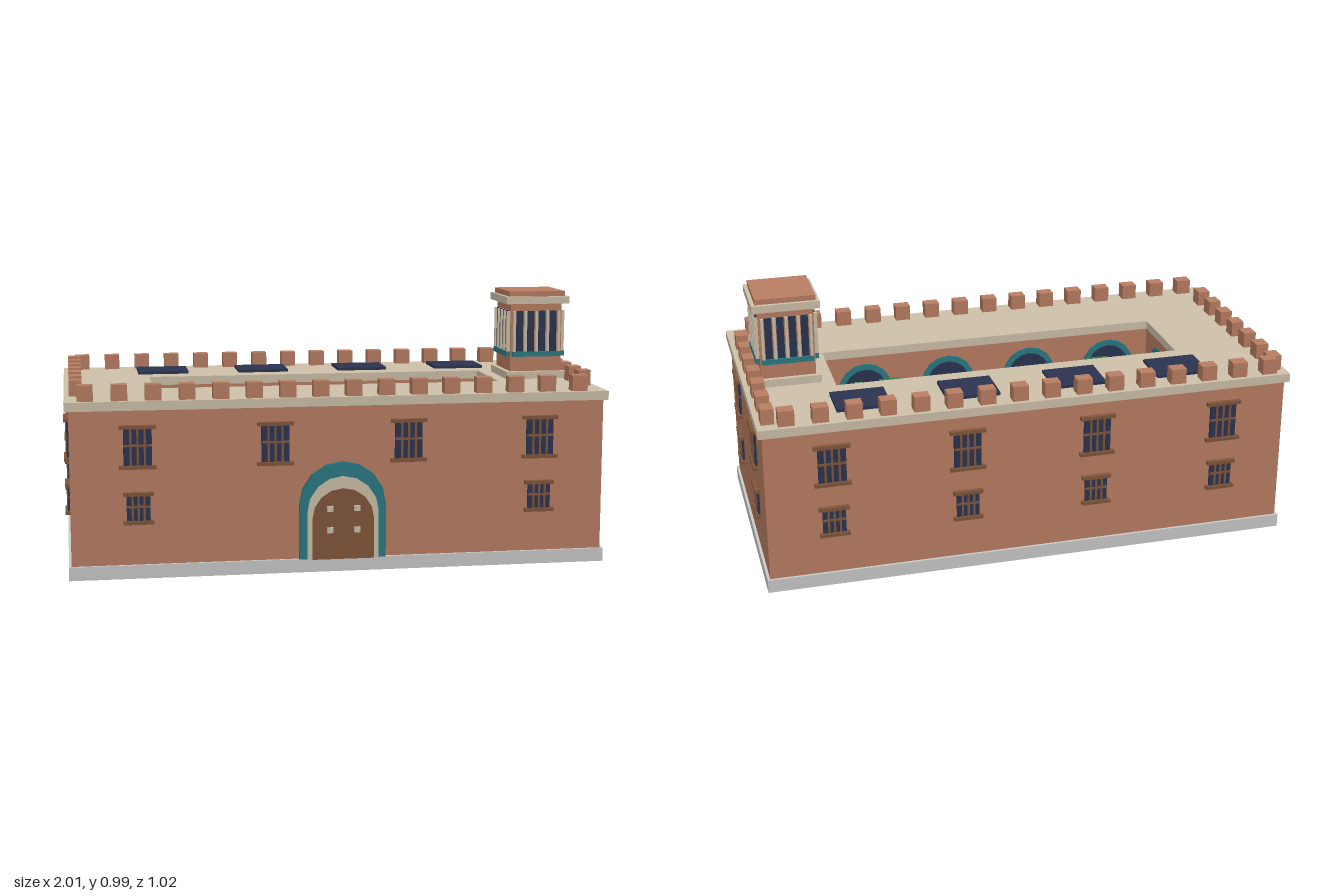
import * as THREE from 'three';

const mat = (name, color) => Object.assign(new THREE.MeshStandardMaterial({ color }), { name });

export function createModel() {
  const terracotta = mat('terracotta', 0xb87d62), cream = mat('cream stone', 0xcdc0a9);
  const grey = mat('grey paving', 0xc9c9c9), teal = mat('teal tile', 0x2a7a84);
  const navy = mat('dark glass', 0x2a3350), wood = mat('wood', 0x80553a);
  const lawnGreen = mat('lawn green', 0x4c9160), leaf = mat('leaf green', 0x3d7d4e);
  const shrubGreen = mat('shrub green', 0x2c6840);

  const model = new THREE.Group();
  model.name = 'courtyardFortress';
  const body = new THREE.Group();
  body.name = 'building';
  body.position.z = -0.011;
  model.add(body);

  const add = (parent, name, geo, material, x = 0, y = 0, z = 0) => {
    const m = new THREE.Mesh(geo, material);
    m.name = name;
    m.position.set(x, y, z);
    parent.add(m);
    return m;
  };
  const box = (parent, name, material, w, h, d, x, y, z) =>
    add(parent, name, new THREE.BoxGeometry(w, h, d), material, x, y, z);
  const group = (parent, name, x = 0, y = 0, z = 0, ry = 0) => {
    const g = new THREE.Group();
    g.name = name;
    g.position.set(x, y, z);
    g.rotation.y = ry;
    parent.add(g);
    return g;
  };
  const faceted = (geo) => {
    const g = geo.toNonIndexed();
    g.computeVertexNormals();
    return g;
  };
  const prism = (rTop, rBottom, h, n) => faceted(new THREE.CylinderGeometry(rTop, rBottom, h, n));
  const ball = (r, n, rings) => faceted(new THREE.SphereGeometry(r, n, rings));

  // Rectangular ring around the courtyard
  const YARD_X = 0.665, YARD_Z = 0.163;
  const ring = (name, material, hx, hz, y0, y1) => {
    const rect = (P, a, b) => new P([[-a, -b], [a, -b], [a, b], [-a, b]].map(p => new THREE.Vector2(...p)));
    const shape = rect(THREE.Shape, hx, hz);
    shape.holes.push(rect(THREE.Path, YARD_X, YARD_Z));
    const geo = new THREE.ExtrudeGeometry(shape, { depth: y1 - y0, bevelEnabled: false });
    add(body, name, geo.rotateX(-Math.PI / 2), material, 0, y0, 0);
  };
  box(body, 'baseSlab', grey, 1.99, 0.05, 0.978, 0, 0.025, 0);
  ring('walls', terracotta, 0.985, 0.479, 0.05, 0.615);
  ring('roof', cream, 1, 0.495, 0.615, 0.648);

  // Battlements
  for (let i = 0; i < 16; i++)
    for (const s of [-1, 1])
      box(body, 'battlement', terracotta, 0.058, 0.058, 0.048, -0.925 + i * 0.1213, 0.677, s * 0.455);
  for (let i = 0; i < 7; i++)
    for (const s of [-1, 1])
      box(body, 'battlement', terracotta, 0.048, 0.058, 0.058, s * 0.957, 0.677, -0.42 + i * 0.121);

  // Roof panels
  for (const x of [-0.605, -0.203, 0.203, 0.605])
    box(body, 'roofPanel', navy, 0.2, 0.012, 0.163, x, 0.653, -0.326);

  // Barred window standing on a wall facing +z
  const barredWindow = (parent, x, y0, y1, w, lintel) => {
    const g = group(parent, 'window', x, (y0 + y1) / 2, 0);
    const h = y1 - y0;
    box(g, 'windowGlass', navy, w, h - 0.02, 0.008, 0, 0, 0.004);
    for (const s of [-1, 1])
      box(g, s > 0 ? 'lintel' : 'sill', wood, lintel, 0.013, 0.018, 0, s * (h / 2 - 0.0065), 0.009);
    for (const i of [-1, 0, 1])
      box(g, 'windowBar', wood, 0.008, h - 0.024, 0.012, i * w * 0.25, 0, 0.006);
    box(g, 'windowCrossbar', wood, w, 0.008, 0.012, 0, 0.006, 0.006);
  };
  const front = group(body, 'frontWall', 0, 0, 0.479);
  const back = group(body, 'backWall', 0, 0, -0.479, Math.PI);
  const leftWall = group(body, 'leftWall', 0.985, 0, 0, Math.PI / 2);
  const rightWall = group(body, 'rightWall', -0.985, 0, 0, -Math.PI / 2);
  const WIDE = [-0.742, -0.246, 0.246, 0.742], SIDE = [-0.236, 0.236];
  for (const [wall, upper, lower] of [
    [front, WIDE, [-0.742, 0.742]], [back, WIDE, WIDE], [leftWall, SIDE, SIDE], [rightWall, SIDE, SIDE]]) {
    upper.forEach(x => barredWindow(wall, x, 0.402, 0.561, 0.102, 0.133));
    lower.forEach(x => barredWindow(wall, x, 0.2, 0.317, 0.085, 0.11));
  }

  // Round-headed slab rising from the ground
  const arch = (parent, name, material, r, apex, depth, x = 0) => {
    const s = new THREE.Shape();
    s.moveTo(-r, 0.05);
    s.lineTo(r, 0.05);
    for (let i = 0; i <= 8; i++) {
      const a = i * Math.PI / 8;
      s.lineTo(r * Math.cos(a), apex - r + r * Math.sin(a));
    }
    const geo = new THREE.ExtrudeGeometry(s, { depth, bevelEnabled: false });
    add(parent, name, geo, material, x, 0, 0);
  };
  arch(front, 'gateTileArch', teal, 0.16, 0.41, 0.019);
  arch(front, 'gateStoneArch', cream, 0.132, 0.357, 0.024);
  arch(front, 'gateDoor', wood, 0.114, 0.313, 0.029);
  for (const x of [-0.05, 0.05])
    for (const y of [0.16, 0.24])
      box(front, 'doorStud', cream, 0.022, 0.02, 0.012, x, y, 0.034);

  // Courtyard arches
  const yardWalls = [
    [0, -YARD_Z, 0, [-0.5, -0.167, 0.167, 0.5]], [0, YARD_Z, Math.PI, [-0.5, -0.167, 0.167, 0.5]],
    [-YARD_X, 0, Math.PI / 2, [0]], [YARD_X, 0, -Math.PI / 2, [0]]];
  for (const [x, z, ry, spots] of yardWalls) {
    const wall = group(body, 'courtyardWall', x, 0, z, ry);
    for (const p of spots) {
      arch(wall, 'archSurround', teal, 0.105, 0.585, 0.006, p);
      arch(wall, 'archOpening', navy, 0.084, 0.562, 0.01, p);
    }
  }

  // Lawn, corner posts and fountain
  box(body, 'lawn', lawnGreen, 1.2, 0.01, 0.178, 0, 0.055, 0);
  for (const x of [-0.583, 0.583])
    for (const z of [-0.074, 0.074])
      box(body, 'cornerPost', grey, 0.022, 0.1, 0.022, x, 0.1, z);
  const fountain = group(body, 'fountain');
  const tiers = [['basin', grey, 0.094, 0.06, 0.08], ['basinWater', teal, 0.085, 0.004, 0.112],
    ['stem', grey, 0.025, 0.08, 0.145], ['bowl', grey, 0.058, 0.02, 0.185], ['spout', cream, 0.015, 0.05, 0.215]];
  for (const [name, m, r, h, y] of tiers)
    add(fountain, name, prism(r, r, h, 8), m, 0, y, 0).rotation.y = Math.PI / 8;

  // Round trees
  for (const x of [-0.42, 0.42]) {
    const tree = group(body, 'tree', x, 0, 0);
    add(tree, 'treeTrunk', prism(0.016, 0.022, 0.32, 6), wood, 0, 0.21, 0);
    add(tree, 'treeCrown', ball(0.134, 6, 5), leaf, 0, 0.446, 0);
  }

  // Potted shrubs
  const shrubs = [[-0.637, 0], [0.637, 0]];
  for (const x of [0.113, 0.34, 0.567])
    for (const z of [-0.131, 0.131]) shrubs.push([x, z], [-x, z]);
  for (const [x, z] of shrubs) {
    const pot = group(body, 'pottedShrub', x, 0, z);
    add(pot, 'pot', prism(0.026, 0.02, 0.05, 6), terracotta, 0, 0.075, 0);
    add(pot, 'shrub', ball(0.033, 6, 4), shrubGreen, 0, 0.12, 0);
  }

  // Palm
  const palm = group(body, 'palm', 0.557, 0, -0.056);
  add(palm, 'palmTrunk', prism(0.013, 0.02, 0.53, 6), wood, 0, 0.315, 0);
  for (let i = 0; i < 7; i++) {
    const frond = group(palm, 'palmFrond', 0, 0.572, 0, i * Math.PI * 2 / 7 + 0.1);
    const geo = new THREE.BoxGeometry(0.17, 0.008, 0.03).translate(0.085, 0, 0);
    add(frond, 'frondBlade', geo, lawnGreen).rotation.z = -0.25;
  }

  // Lookout tower
  const tower = group(body, 'tower', 0.831, 0, 0);
  const block = (name, m, half, y0, y1) =>
    box(tower, name, m, half * 2, y1 - y0, half * 2, 0, (y0 + y1) / 2, 0);
  block('towerPlinth', cream, 0.12, 0.648, 0.677);
  block('towerBody', terracotta, 0.102, 0.677, 0.942);
  block('towerCornice', cream, 0.125, 0.942, 0.97);
  block('towerCap', terracotta, 0.111, 0.97, 0.99);
  for (let k = 0; k < 4; k++) {
    const face = group(tower, 'towerFace', 0, 0, 0, k * Math.PI / 2);
    box(face, 'tileBand', teal, 0.192, 0.02, 0.018, 0, 0.745, 0.108);
    for (let i = -1.5; i < 2; i++)
      box(face, 'towerWindow', navy, 0.026, 0.158, 0.009, i * 0.0446, 0.834, 0.105);
    for (let i = -2; i <= 2; i++)
      box(face, 'towerColumn', cream, 0.01, 0.158, 0.014, i * 0.0446, 0.834, 0.109);
  }
  return model;
}
